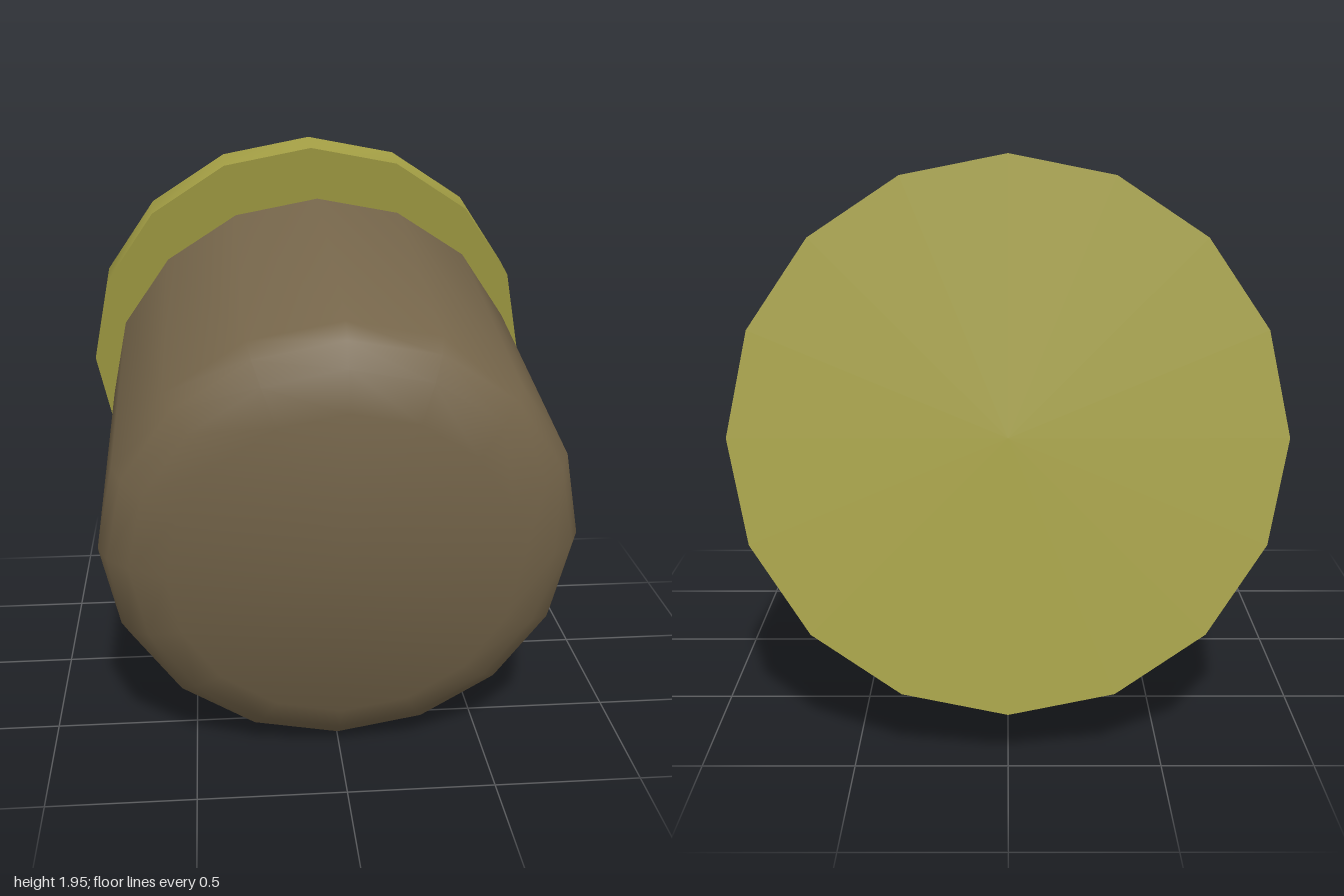
import * as THREE from 'three';
import { toCreasedNormals } from 'three/addons/utils/BufferGeometryUtils.js';

const SIDES = 16;
const brown = new THREE.MeshStandardMaterial({ color: 0x75654a });
const olive = new THREE.MeshStandardMaterial({ color: 0xa39e44 });
const red = new THREE.MeshStandardMaterial({ color: 0xb42a18 });

function part(name, geometry, material, y = 0) {
  const mesh = new THREE.Mesh(toCreasedNormals(geometry, Math.PI / 3), material);
  mesh.name = name;
  mesh.position.y = y;
  return mesh;
}

// Solid cylinder between two heights on the axis
function disc(name, radius, y0, y1, material) {
  const geometry = new THREE.CylinderGeometry(radius, radius, y1 - y0, SIDES);
  return part(name, geometry, material, (y0 + y1) / 2);
}

export function createModel() {
  // Everything is turned about the local y axis; y = 0 is the rear face of the body
  const axis = new THREE.Group();
  axis.name = 'stopper';

  // Body: flat rear, straight wall, rounded front shoulder
  const profile = [[0, 0], [0.805, 0], [0.805, 1.11], [0.772, 1.18], [0.7, 1.237], [0.58, 1.294], [0, 1.294]]
    .map(([r, y]) => new THREE.Vector2(r, y));
  axis.add(part('body', new THREE.LatheGeometry(profile, SIDES), brown));

  // Neck and the stem of the back plate meet under the ring
  axis.add(disc('neck', 0.5, -0.17, 0.01, brown));
  axis.add(disc('plateStem', 0.5, -0.34, -0.17, olive));

  // Sealing ring
  const ring = new THREE.TorusGeometry(0.55, 0.086, 8, SIDES).rotateX(Math.PI / 2);
  axis.add(part('sealingRing', ring, red, -0.173));

  // Back plate
  axis.add(disc('backPlate', 0.9, -0.473, -0.325, olive));

  // Lay the axis forward, nose tipped down ten degrees
  axis.rotation.x = THREE.MathUtils.degToRad(100);
  axis.position.set(0, 0.989, -0.376);

  const model = new THREE.Group();
  model.name = 'model';
  model.add(axis);
  return model;
}
